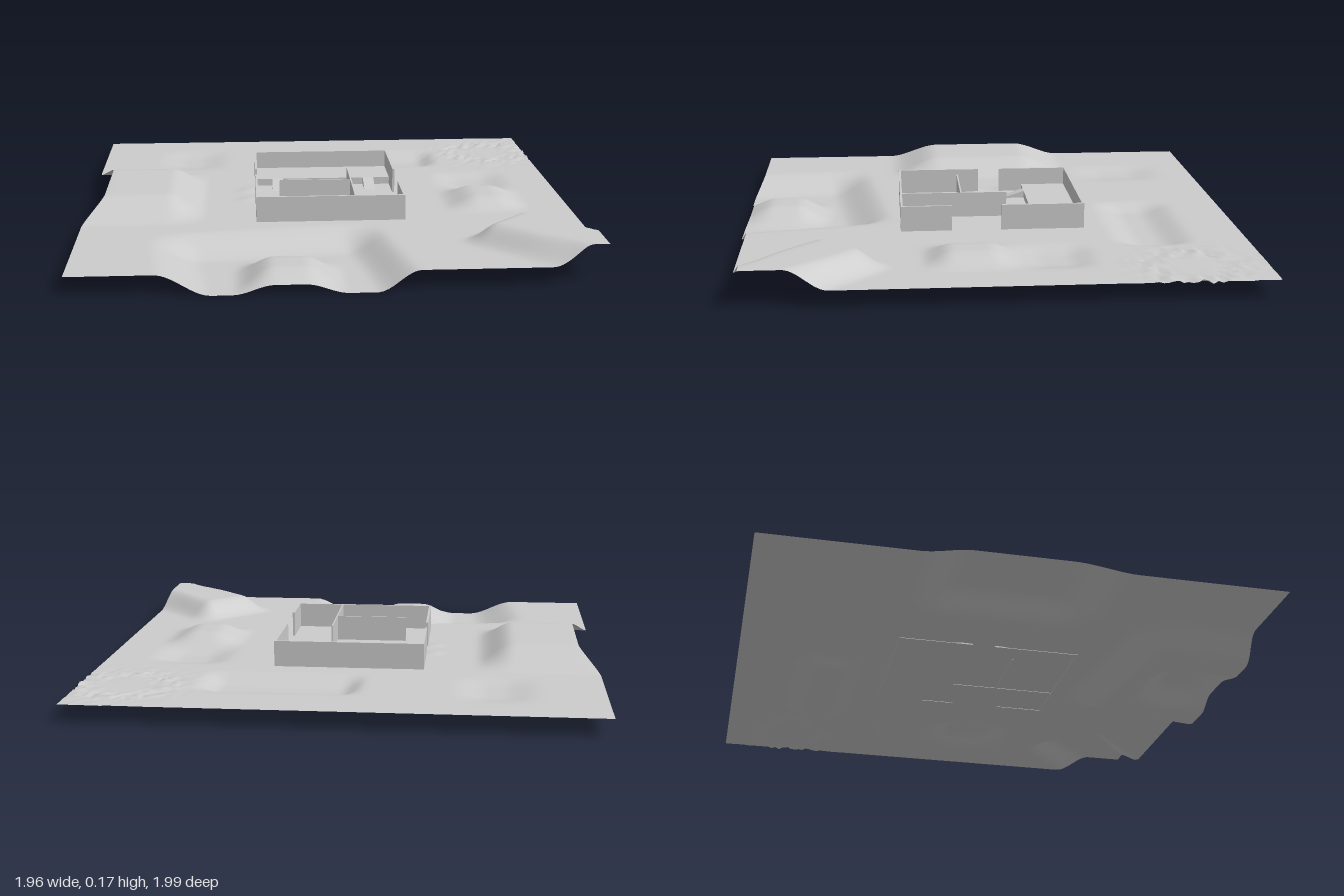
import * as THREE from 'three';

const BASE = 0.068; // level of the flat ground
const grey = () => new THREE.MeshStandardMaterial({ color: 0xcccccc, side: THREE.DoubleSide });
const ease = (t) => THREE.MathUtils.smoothstep(t, 0, 1);

// Weight 0..1 of a rectangular mound or pit with eased flanks
const patch = (x, z, x0, x1, z0, z1, wx, wz) =>
  ease((x - x0) / wx) * ease((x1 - x) / wx) * ease((z - z0) / wz) * ease((z1 - z) / wz);

// Repeatable noise, -1..1
function makeNoise(seed) {
  let s = seed;
  return () => {
    s = (s * 16807) % 2147483647;
    return (s / 2147483647) * 2 - 1;
  };
}

function groundHeight(x, z) {
  let h = 0;
  h += 0.072 * patch(x, z, -1.12, -0.5, -0.43, 0.38, 0.15, 0.22); // left plateau
  h += 0.042 * patch(x, z, 0.47, 0.82, -0.1, 0.28, 0.14, 0.12); // right hill
  h -= 0.021 * patch(x, z, 0.47, 0.82, -0.39, -0.06, 0.13, 0.12); // hollow behind it
  h -= 0.033 * patch(x, z, -0.09, 0.55, -0.8, -0.46, 0.09, 0.14); // back trench
  h -= 0.016 * patch(x, z, -0.74, -0.41, -0.87, -0.44, 0.14, 0.16); // back left hollow
  h += 0.006 * patch(x, z, -0.38, -0.27, -0.18, -0.06, 0.05, 0.05); // small bumps at the doorway
  h += 0.006 * patch(x, z, -0.38, -0.27, -0.03, 0.07, 0.05, 0.05);

  // diagonal plateau in the front right corner
  const sum = x + z, diff = z - x;
  h += 0.072 * ease((sum - 1.09) / 0.17) * ease((0.21 - diff) / 0.17) * ease((diff + 0.37) / 0.16);

  // front basin with slanted sides and an islet in it
  const back = 0.48 - 0.13 * (x + 0.7);
  const left = -0.72 + 0.12 * (z - 0.5);
  const right = 0.18 + 0.18 * (z - 0.4);
  h -= 0.068 * ease((z - back) / 0.19) * ease((x - left) / 0.2) * ease((right - x) / 0.16);
  h += 0.066 * patch(x, z, -0.39, 0.02, 0.63, 1.03, 0.15, 0.15);
  return h;
}

function makeGround() {
  const n = 110, x0 = -0.98, x1 = 0.98, z0 = -1, z1 = 0.96;
  const geo = new THREE.PlaneGeometry(x1 - x0, z1 - z0, n, n);
  geo.rotateX(-Math.PI / 2);
  geo.translate((x0 + x1) / 2, 0, (z0 + z1) / 2);
  const pos = geo.attributes.position;
  const noise = makeNoise(4217);
  for (let i = 0; i < pos.count; i++) {
    const x = pos.getX(i), z = pos.getZ(i);
    let h = groundHeight(x, z);
    // rims lean inward where raised and outward where sunk
    const px = x + h * (1.05 * ease((x + 0.78) / -0.2) - 0.3 * ease((x - 0.8) / 0.18));
    const pz = z - 0.5 * h * ease((z - 0.76) / 0.2);
    // rough ring around a smooth centre
    const r = Math.hypot(x - 0.8, z + 0.72);
    const rough = 0.009 * Math.exp(-(((r - 0.16) / 0.045) ** 2))
      + 0.0022 * ease((0.36 - r) / 0.15) * ease((r - 0.08) / 0.05);
    h += noise() * rough;
    pos.setXYZ(i, px, Math.max(0, BASE + h), pz);
  }
  geo.computeVertexNormals();
  const mesh = new THREE.Mesh(geo, grey());
  mesh.name = 'ground';
  return mesh;
}

// Box given by its plan rectangle and top height
function block(name, x0, x1, z0, z1, top) {
  const geo = new THREE.BoxGeometry(x1 - x0, top - BASE + 0.002, z1 - z0);
  const mesh = new THREE.Mesh(geo, grey());
  mesh.position.set((x0 + x1) / 2, (top + BASE - 0.002) / 2, (z0 + z1) / 2);
  mesh.name = name;
  return mesh;
}

function makeBuilding() {
  const g = new THREE.Group();
  g.name = 'building';
  const L = -0.298, R = 0.292, B = -0.386, F = 0.348, T = 0.009, TOP = 0.17;

  // outer walls with a doorway on each side
  g.add(
    block('backWall', L, R, B, B + T, TOP),
    block('frontWall', L, R, F - T, F, TOP),
    block('leftWallBack', L, L + T, B + T, -0.09, TOP),
    block('leftWallFront', L, L + T, 0.0, F - T, TOP),
    block('rightWallBack', R - T, R, B + T, -0.055, TOP),
    block('rightWallFront', R - T, R, 0.145, F - T, TOP),
  );

  // inner partitions
  g.add(
    block('longPartition', 0.091, 0.097, 0.092 - 0.182, F - T, TOP),
    block('crossPartition', -0.2, 0.091, 0.094, 0.1, TOP),
  );

  // raised floor at the back with two ramps
  const floorTop = 0.098;
  g.add(block('raisedFloor', L + T, R - T, B + T, -0.19, floorTop));
  for (const x of [-0.2, 0.192]) {
    const side = new THREE.Shape();
    side.moveTo(0, 0);
    side.lineTo(0.09, 0);
    side.lineTo(0, floorTop - BASE);
    const geo = new THREE.ExtrudeGeometry(side, { depth: 0.046, bevelEnabled: false });
    geo.rotateY(-Math.PI / 2);
    const ramp = new THREE.Mesh(geo, grey());
    ramp.position.set(x + 0.023, BASE, -0.19);
    ramp.name = 'ramp';
    g.add(ramp);
  }
  return g;
}

export function createModel() {
  const model = new THREE.Group();
  model.name = 'terrainWithBuilding';
  model.add(makeGround(), makeBuilding());
  return model;
}
